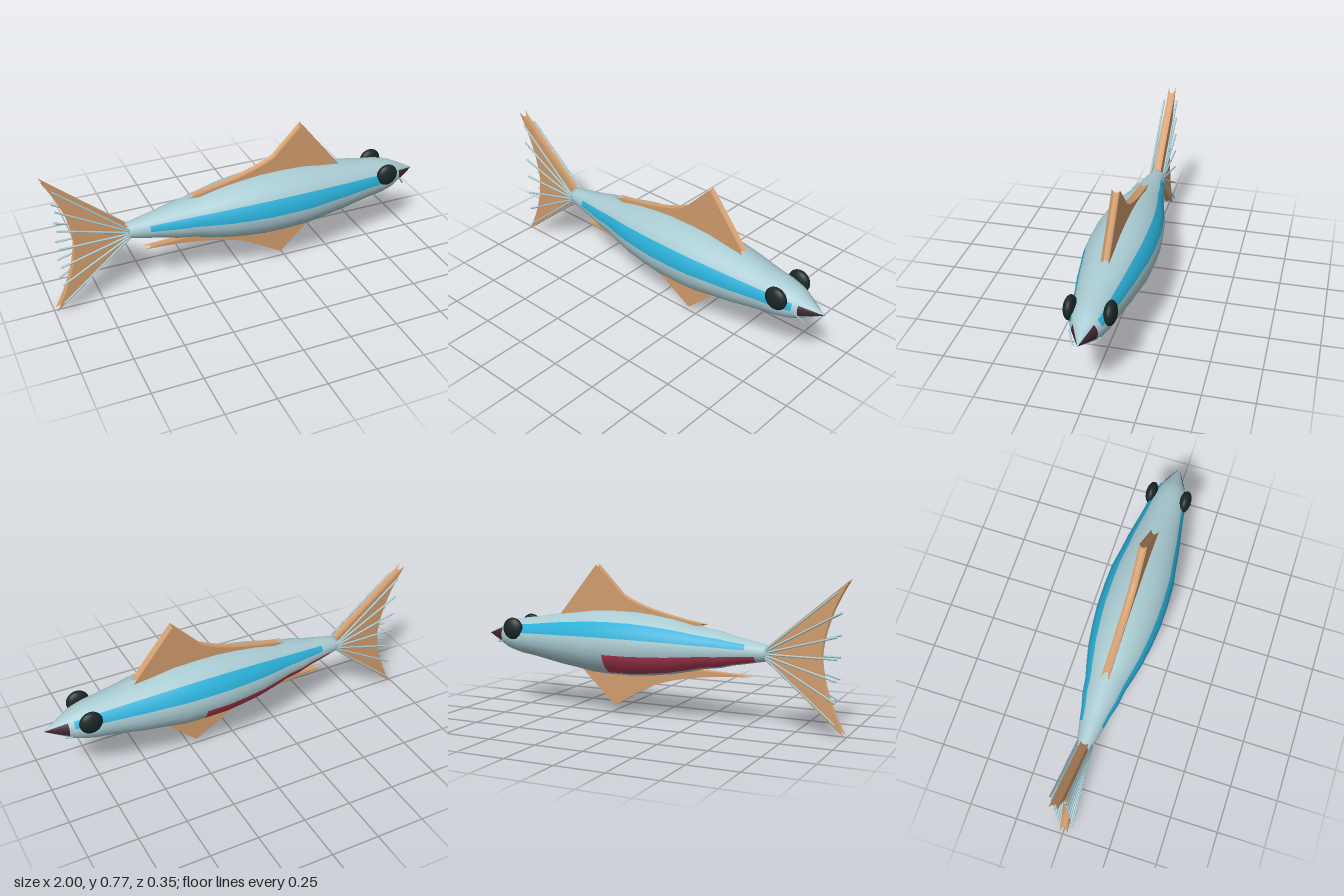
import * as THREE from 'three';

const mat = (name, color, side = THREE.FrontSide) => {
  const m = new THREE.MeshStandardMaterial({ color, side });
  m.name = name;
  return m;
};
const AXIS_Y = 0.372;
const SIDES = 24;

export function createModel() {
  const skin = mat('pale blue skin', 0xa9cbd2);
  const blue = mat('bright blue stripe', 0x2bb0d8);
  const red = mat('belly red', 0xb03a52);
  const lips = mat('dark maroon mouth', 0x43262f);
  const finTan = mat('tan fin', 0xd09c6c, THREE.DoubleSide);
  const black = mat('eye black', 0x1a2626);

  const fish = new THREE.Group();
  fish.name = 'fish';
  const add = (name, geometry, material) => {
    const mesh = new THREE.Mesh(geometry, material);
    mesh.name = name;
    fish.add(mesh);
    return mesh;
  };

  // Body: turned profile of [x, radius], tail to nose
  const profile = [
    [-0.62, 0], [-0.62, 0.034], [-0.59, 0.042], [-0.55, 0.05], [-0.5, 0.06], [-0.43, 0.073],
    [-0.36, 0.091], [-0.28, 0.102], [-0.2, 0.122], [-0.11, 0.142], [0, 0.157], [0.1, 0.166],
    [0.22, 0.167], [0.33, 0.163], [0.43, 0.148], [0.53, 0.135], [0.62, 0.119], [0.7, 0.105],
    [0.78, 0.095], [0.84, 0.08], [0.865, 0.071], [0.89, 0.058], [0.95, 0.027], [1, 0],
  ];
  const body = new THREE.LatheGeometry(profile.map(([x, r]) => new THREE.Vector2(r, x)), SIDES);
  body.rotateZ(-Math.PI / 2).scale(1, 1, 1.04).translate(0, AXIS_Y, 0);

  // Colour the body by sector (15 degrees each, counted from the +z side upwards) and length
  const markings = [
    { from: -0.5, to: 0.865, sectors: [0, 1, 9, 10] },
    { from: -0.55, to: 0.22, sectors: [13, 14, 15, 17, 18, 19] },
    { from: 0.89, to: 1, sectors: [22, 23, 0, 1, 9, 10, 11, 12, 13] },
  ];
  const buckets = [[], [], [], []];
  const rows = profile.length - 1;
  const index = body.index.array;
  for (let q = 0; q < SIDES * rows; q++) {
    const sector = SIDES - 1 - Math.floor(q / rows);
    const j = q % rows;
    const x = (profile[j][0] + profile[j + 1][0]) / 2;
    const hit = markings.findIndex((m) => x > m.from && x < m.to && m.sectors.includes(sector));
    buckets[hit + 1].push(...index.slice(q * 6, q * 6 + 6));
  }
  body.setIndex(buckets.flat());
  let start = 0;
  buckets.forEach((b, i) => {
    body.addGroup(start, b.length, i);
    start += b.length;
  });
  add('body', body, [skin, blue, red, lips]);

  // Fins: slabs whose rim is hollowed between the two faces
  const fin = (name, draw, [cx, cy]) => {
    const shape = new THREE.Shape();
    draw(shape);
    const geo = new THREE.ExtrudeGeometry(shape, {
      depth: 0.04, steps: 4, bevelEnabled: false, curveSegments: 8,
    });
    geo.translate(0, 0, -0.02);
    const p = geo.attributes.position;
    for (let i = 0; i < p.count; i++) {
      const k = 1 - 0.07 * (1 - Math.pow(Math.abs(p.getZ(i)) / 0.02, 2));
      p.setXY(i, cx + (p.getX(i) - cx) * k, cy + (p.getY(i) - cy) * k);
    }
    geo.computeVertexNormals();
    add(name, geo, finTan);
  };
  fin('dorsalFin', (s) => {
    s.moveTo(-0.29, 0.49);
    s.quadraticCurveTo(0.05, 0.54, 0.18, 0.62);
    s.lineTo(0.325, 0.77);
    s.lineTo(0.54, 0.505);
    s.lineTo(0.4, 0.46);
    s.lineTo(0, 0.46);
  }, [0.25, 0.52]);
  fin('analFin', (s) => {
    s.moveTo(-0.53, 0.25);
    s.quadraticCurveTo(-0.12, 0.235, 0.05, 0.14);
    s.lineTo(0.22, 0.042);
    s.lineTo(0.41, 0.22);
    s.lineTo(0.3, 0.27);
    s.lineTo(-0.2, 0.265);
  }, [0.12, 0.22]);
  fin('tailFin', (s) => {
    s.moveTo(-0.59, 0.395);
    s.lineTo(-1, 0.745);
    s.quadraticCurveTo(-0.88, 0.55, -0.87, AXIS_Y);
    s.quadraticCurveTo(-0.88, 0.2, -0.99, 0);
    s.lineTo(-0.59, 0.35);
  }, [-0.65, AXIS_Y]);

  // Thin rod between two points
  const rod = (name, a, b, radius) => {
    const from = new THREE.Vector3(...a);
    const to = new THREE.Vector3(...b);
    const dir = to.clone().sub(from);
    const mesh = add(name, new THREE.CylinderGeometry(radius, radius, dir.length(), 8), skin);
    mesh.position.copy(from).add(to).multiplyScalar(0.5);
    mesh.quaternion.setFromUnitVectors(new THREE.Vector3(0, 1, 0), dir.normalize());
  };

  for (const side of [1, -1]) {
    // Tail rays fan out on each side of the tail fin
    for (let i = -3; i <= 3; i++) {
      rod('tailRay', [-0.6, AXIS_Y + i * 0.007, side * 0.036],
        [-0.95, AXIS_Y + i * 0.105, side * 0.036], 0.005);
    }
    // Bulging flattened eyes
    const eye = add('eye', new THREE.SphereGeometry(0.058, 24, 16), black);
    eye.scale.z = 0.52;
    eye.position.set(0.793, 0.418, side * 0.092);
  }

  // Small barbels beside the mouth
  rod('leftBarbel', [0.885, 0.366, 0.072], [0.925, 0.315, 0.045], 0.004);
  rod('rightBarbel', [0.88, 0.345, -0.07], [0.92, 0.335, -0.045], 0.004);

  return fish;
}
